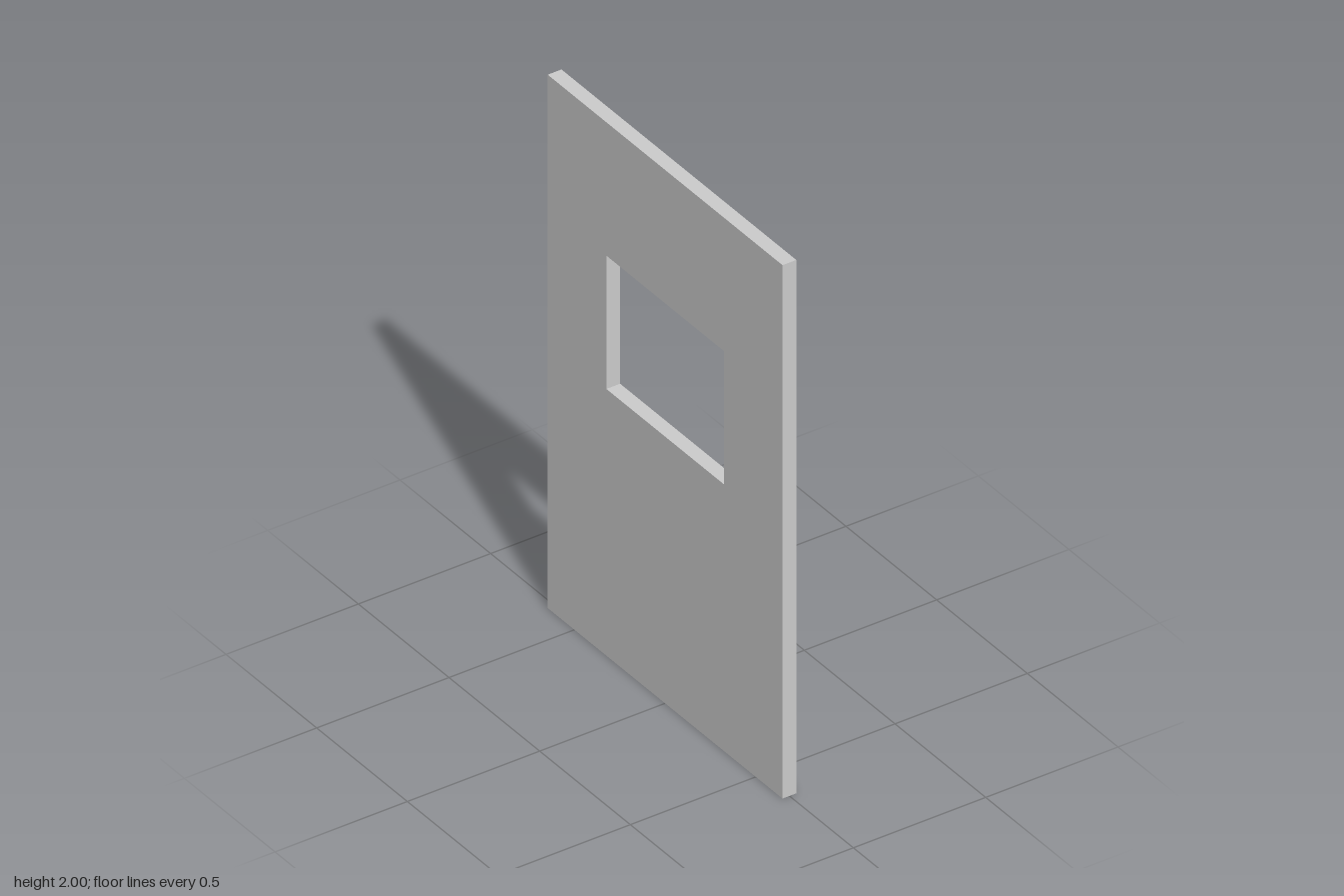
import * as THREE from 'three';

const HEIGHT = 2, WIDTH = 1.295, THICKNESS = 0.052;
const WINDOW = { width: 0.648, bottom: 1, top: 1.5 };

// Adds a rectangle, centred sideways, to a shape or path
function rectangle(path, width, bottom, top) {
  const h = width / 2;
  return path.moveTo(-h, bottom).lineTo(h, bottom).lineTo(h, top).lineTo(-h, top).closePath();
}

export function createModel() {
  const group = new THREE.Group();
  group.name = 'doorPanel';

  // Upright slab with a rectangular window opening
  const outline = rectangle(new THREE.Shape(), WIDTH, 0, HEIGHT);
  outline.holes.push(rectangle(new THREE.Path(), WINDOW.width, WINDOW.bottom, WINDOW.top));
  const geometry = new THREE.ExtrudeGeometry(outline, { depth: THICKNESS, bevelEnabled: false });

  // Centre the thickness and turn the broad faces to +x and -x
  geometry.translate(0, 0, -THICKNESS / 2);
  geometry.rotateY(Math.PI / 2);

  const panel = new THREE.Mesh(geometry, new THREE.MeshStandardMaterial({ color: 0xcccccc }));
  panel.name = 'panelWithWindow';
  group.add(panel);
  return group;
}
